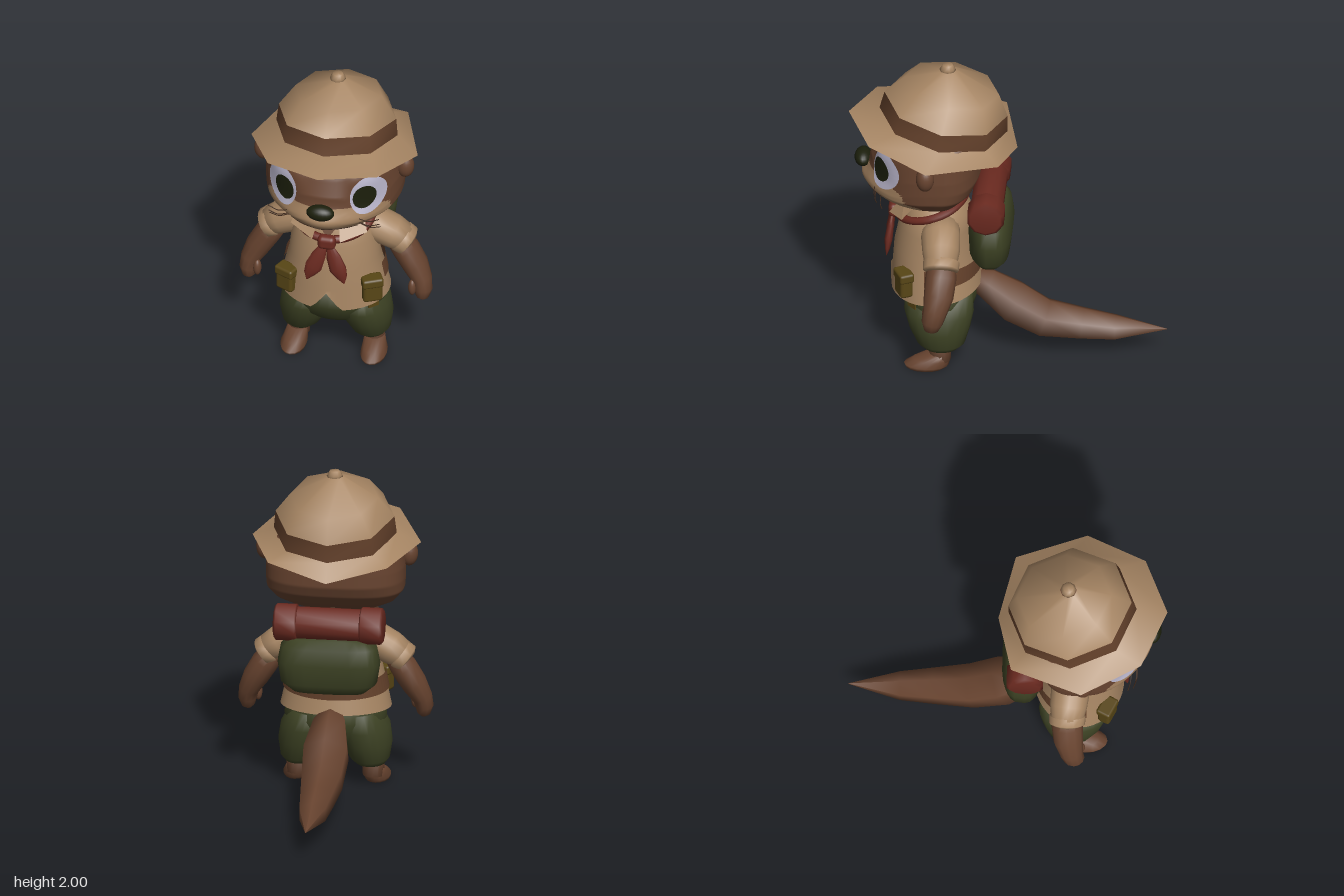
import * as THREE from 'three';
import { RoundedBoxGeometry } from 'three/addons/geometries/RoundedBoxGeometry.js';

const V = (x, y, z) => new THREE.Vector3(x, y, z);
const mat = (name, color, side = THREE.FrontSide) => {
  const m = new THREE.MeshStandardMaterial({ color, side });
  m.name = name;
  return m;
};

// Skin a list of equal-length point loops; caps collapse to the loop centre.
function loft(rings, cap = true) {
  const n = rings[0].length;
  const closed = (r) => {
    const c = r.reduce((a, p) => a.add(p), V(0, 0, 0)).divideScalar(n);
    return r.map(() => c);
  };
  const all = cap ? [closed(rings[0]), ...rings, closed(rings[rings.length - 1])] : rings;
  const pos = [], idx = [];
  all.forEach((r) => r.forEach((p) => pos.push(p.x, p.y, p.z)));
  for (let i = 0; i < all.length - 1; i++) for (let j = 0; j < n; j++) {
    const a = i * n + j, b = i * n + (j + 1) % n;
    idx.push(a, b, b + n, a, b + n, a + n);
  }
  const g = new THREE.BufferGeometry();
  g.setAttribute('position', new THREE.Float32BufferAttribute(pos, 3));
  g.setIndex(idx);
  g.computeVertexNormals();
  return g;
}

// Horizontal loop: half width, front z, back z, centre x and z of the widest point.
function ring(y, hx, zf, zb, n = 32, cx = 0, zc = (zf + zb) / 2, back = 1) {
  return Array.from({ length: n }, (_, j) => {
    const t = (j / n) * Math.PI * 2, s = Math.sin(t), c = Math.cos(t);
    const e = c < 0 ? back : 1;
    return V(cx + hx * Math.sign(s) * Math.abs(s) ** e, y,
      c > 0 ? zc + (zf - zc) * c : zc - (zc - zb) * Math.abs(c) ** e);
  });
}

// Limb along a path of [x, y, z, radius], with loops square to the path.
function limb(path, n, ref, flat = 1) {
  const pts = path.map((p) => V(p[0], p[1], p[2]));
  return loft(pts.map((p, i) => {
    const T = pts[Math.min(i + 1, pts.length - 1)].clone().sub(pts[Math.max(i - 1, 0)]).normalize();
    const U = ref.clone().addScaledVector(T, -ref.dot(T)).normalize();
    const W = T.clone().cross(U);
    return Array.from({ length: n }, (_, j) => {
      const t = (j / n) * Math.PI * 2, r = path[i][3];
      return p.clone().addScaledVector(U, r * flat * Math.cos(t)).addScaledVector(W, r * Math.sin(t));
    });
  }));
}

// Head profile: y, half width, front z, back z.
const HEAD = [[1.085, .10, .60, .38], [1.13, .26, .74, .32], [1.18, .36, .8, .25], [1.25, .415, .82, .18],
  [1.32, .42, .825, .15], [1.4, .42, .82, .15], [1.5, .41, .775, .15], [1.59, .36, .72, .15], [1.7, .22, .58, .22]];
function headAt(y) {
  let i = 0;
  while (i < HEAD.length - 2 && y > HEAD[i + 1][0]) i++;
  const a = HEAD[i], b = HEAD[i + 1], k = THREE.MathUtils.clamp((y - a[0]) / (b[0] - a[0]), 0, 1);
  return [1, 2, 3].map((q) => a[q] + (b[q] - a[q]) * k);
}
// Front surface of the head: upright around the eyes, with a muzzle bulge
function faceZ(x, y) {
  const w = Math.exp(-(((Math.abs(x) - .262) / .12) ** 4) - ((y - 1.4) / .15) ** 4);
  const [hx, zf] = headAt(y + (1.43 - y) * w);
  const bump = .06 * Math.exp(-((x / .21) ** 2) - ((y - 1.23) / .075) ** 2);
  return .42 + (zf - .42) * Math.sqrt(Math.max(0, 1 - (x / hx) ** 2)) + bump;
}

export function createModel() {
  const root = new THREE.Group();
  const tan = mat('tan cloth', 0xa68563, THREE.DoubleSide), fur = mat('brown fur', 0x67432f);
  const leather = mat('brown leather', 0x64412b, THREE.DoubleSide), olive = mat('olive cloth', 0x3c4123);
  const red = mat('red cloth', 0x6b2a20), white = mat('eye white', 0xbbb7cd);
  const black = mat('dark pupil', 0x1c1f0c), pouchMat = mat('ochre pouch', 0x584616);
  const dark = mat('dark line', 0x3f2a1d), furTan = mat('pale fur', 0xa48260);
  const add = (name, geo, m, x = 0, y = 0, z = 0) => {
    const o = new THREE.Mesh(geo, m);
    o.name = name;
    o.position.set(x, y, z);
    root.add(o);
    return o;
  };
  const ball = (name, m, x, y, z, rx, ry, rz) => {
    const o = add(name, new THREE.SphereGeometry(1, 20, 14), m, x, y, z);
    o.scale.set(rx, ry, rz);
    return o;
  };
  const line = (name, pts, r, m) =>
    add(name, new THREE.TubeGeometry(new THREE.CatmullRomCurve3(pts), 20, r, 5), m);

  // Head, with the pale muzzle as a material group
  const rows = [];
  for (let i = 0; i <= 72; i++) {
    const y = 1.085 + (.615 * i) / 72, [hx, zf, zb] = headAt(y);
    const r = ring(y, hx, zf, zb, 96, 0, .42, .75);
    r.forEach((p) => { if (p.z > .421) p.z = faceZ(p.x, y); });
    rows.push(r);
  }
  const head = loft(rows), hp = head.attributes.position, src = head.index.array, parts = [[], []];
  for (let i = 0; i < src.length; i += 3) {
    const t = [src[i], src[i + 1], src[i + 2]];
    const mean = (f) => t.reduce((s, k) => s + f(k), 0) / 3;
    const x = mean((k) => hp.getX(k)), y = mean((k) => hp.getY(k)), z = mean((k) => hp.getZ(k));
    const pale = z > .5 && (x / .375) ** 4 + ((y - 1.235) / .1) ** 4 < 1;
    parts[pale ? 0 : 1].push(...t);
  }
  head.setIndex(parts[0].concat(parts[1]));
  head.addGroup(0, parts[0].length, 0);
  head.addGroup(parts[0].length, parts[1].length, 1);
  add('head', head, [furTan, fur]);
  ball('nose', black, 0, 1.325, .868, .085, .05, .052);
  line('mouth', [-.2, -.14, -.07, 0, .07, .14, .2].map((x, i) => {
    const y = [1.175, 1.185, 1.19, 1.18, 1.19, 1.185, 1.175][i];
    return V(x, y, faceZ(x, y));
  }), .004, dark);

  // Face plates that follow the head surface
  const plate = (name, m, cx, cy, rx, ry, lift) => {
    const g = new THREE.RingGeometry(0, 1, 32, 5), p = g.attributes.position;
    for (let i = 0; i < p.count; i++) {
      const x = cx + p.getX(i) * rx, y = cy + p.getY(i) * ry;
      p.setXYZ(i, x, y, faceZ(x, y) + lift);
    }
    g.computeVertexNormals();
    add(name, g, m);
  };
  for (const s of [1, -1]) {
    const side = s > 0 ? 'left' : 'right';
    plate(side + 'EyeWhite', white, s * .262, 1.4, .098, .125, .008);
    plate(side + 'Pupil', black, s * .245, 1.395, .064, .078, .014);
    const brow = add(side + 'Brow', new RoundedBoxGeometry(.13, .05, .05, 3, .022), furTan, s * .252, 1.58, faceZ(.252, 1.58) + .005);
    brow.rotation.set(0, s * .5, -s * .12);
    ball(side + 'Ear', fur, s * .435, 1.455, .465, .055, .08, .055);
    for (let k = 0; k < 3; k++) {
      const y = 1.25 - k * .03, z = faceZ(.22, y);
      line(side + 'Whisker', [V(s * .22, y, z), V(s * .28, y - .01 - k * .006, z), V(s * .34, y + .005 - k * .012, z - .015)], .003, dark);
    }
  }

  // Hat: eight-sided, tilted back, with the brim drooping at the rear
  const hatRing = (cz, rx, rz, y, slope) => ring(y, rx, cz + rz, cz - rz, 8).map((p) => p.setY(y + (p.z - cz) * slope));
  const brimHalf = [[0, 1.64, .955], [.335, 1.605, .81], [.51, 1.53, .455], [.36, 1.515, .03], [0, 1.43, -.06]].map((p) => V(...p));
  const brimEdge = [...brimHalf, ...brimHalf.slice(1, 4).reverse().map((p) => V(-p.x, p.y, p.z))];
  const bandLow = hatRing(.385, .372, .385, 1.61, .175), bandHigh = hatRing(.37, .36, .37, 1.72, .185);
  add('hatBrim', loft([brimEdge, bandLow], false), tan);
  add('hatBand', loft([bandLow, bandHigh], false), leather);
  add('hatCrown', loft([bandHigh, hatRing(.335, .265, .285, 1.85, .18), hatRing(.36, .05, .05, 1.965, .02)], false), tan);
  add('hatKnob', loft([ring(1.94, .04, .4, .32, 10), ring(1.975, .046, .406, .314, 10), ring(2, .03, .39, .33, 10)]), tan);

  // Shirt with a notch in the front hem
  const hem = ring(.465, .335, .7, .15, 64);
  hem.forEach((p) => {
    p.y += (.7 - p.z) * .07;
    if (p.z > .5) p.y += .12 * Math.max(0, 1 - Math.abs(p.x) / .09);
  });
  add('shirt', loft([hem, ...[[.6, .31, .69, .17], [.75, .275, .68, .2], [.9, .26, .65, .21], [1, .235, .62, .22],
    [1.06, .17, .58, .27], [1.1, .1, .52, .34]].map((r) => ring(...r, 64))], false), tan);
  add('neck', new THREE.CylinderGeometry(.13, .15, .14, 20), fur, 0, 1.08, .44);
  const facets = (name, pts, m) => {
    const g = new THREE.BufferGeometry().setFromPoints(pts);
    g.computeVertexNormals();
    return add(name, g, m);
  };
  facets('throat', [V(-.09, 1.1, .62), V(0, .98, .67), V(.09, 1.1, .62)], fur);

  // Belt around the back of the waist
  const beltRing = (y, hx) => ring(y, hx, .7, .155, 64).filter((p, j) => j >= 14 && j <= 50);
  const low = beltRing(.6, .32), high = beltRing(.705, .3), strip = [];
  for (let j = 0; j < low.length - 1; j++) strip.push(low[j], low[j + 1], high[j + 1], low[j], high[j + 1], high[j]);
  facets('belt', strip, leather);

  // Neckerchief
  const loop = Array.from({ length: 12 }, (_, i) => {
    const t = (i / 12) * Math.PI * 2;
    return V(.23 * Math.sin(t), 1.035 - .065 * Math.cos(t), .455 + .205 * Math.cos(t));
  });
  add('scarfLoop', new THREE.TubeGeometry(new THREE.CatmullRomCurve3(loop, true), 40, .025, 8, true), red);
  add('scarfKnot', new RoundedBoxGeometry(.11, .09, .07, 3, .03), red, 0, .965, .68);

  // Pelvis of the shorts
  add('shorts', loft([ring(.27, .2, .54, .26), ring(.33, .28, .6, .2), ring(.43, .31, .65, .17), ring(.58, .29, .66, .18)]), olive);

  for (const s of [1, -1]) {
    const side = s > 0 ? 'left' : 'right';
    // Collar and scarf ends
    const [a, b, c, d] = [V(s * .06, 1.105, .61), V(s * .2, 1.1, .55), V(s * .235, 1.03, .62), V(s * .085, .99, .705)];
    facets(side + 'Collar', s > 0 ? [a, d, c, a, c, b] : [a, c, d, a, b, c], tan);
    add(side + 'ScarfEnd', limb([[s * .015, .95, .69, .02], [s * .045, .87, .7, .045], [s * .075, .79, .71, .054],
      [s * .1, .74, .715, .035], [s * .115, .695, .72, .003]], 10, V(0, 0, 1), .45), red);
    // Sleeve, cuff and arm
    add(side + 'Sleeve', limb([[s * .14, .95, .39, .1], [s * .24, .925, .385, .105], [s * .34, .875, .375, .1], [s * .42, .825, .37, .085]], 16, V(0, 0, 1), 1.12), tan);
    add(side + 'Cuff', limb([[s * .385, .845, .37, .075], [s * .39, .84, .37, .092], [s * .43, .81, .37, .09], [s * .435, .805, .37, .07]], 16, V(0, 0, 1), 1.2), tan);
    add(side + 'Arm', limb([[s * .36, .84, .37, .07], [s * .42, .75, .37, .082], [s * .48, .65, .38, .078], [s * .525, .56, .4, .062],
      [s * .535, .5, .415, .056], [s * .53, .45, .42, .04], [s * .525, .43, .42, .015]], 12, V(0, 0, 1), 1.15), fur);
    ball(side + 'Thumb', fur, s * .475, .525, .45, .025, .055, .03);
    // Belt pouch and flap
    const pouch = add(side + 'Pouch', new RoundedBoxGeometry(.12, .16, .08, 2, .02), pouchMat, s * .26, .6, .605);
    pouch.rotation.y = s * .45;
    const lid = add(side + 'PouchFlap', new RoundedBoxGeometry(.13, .06, .092, 2, .015), pouchMat, s * .26, .655, .605);
    lid.rotation.y = s * .45;
    // Trouser leg
    add(side + 'TrouserLeg', loft([ring(.135, .09, .49, .28, 20, s * .215), ring(.17, .12, .53, .24, 20, s * .21),
      ring(.27, .155, .58, .21, 20, s * .19), ring(.37, .155, .61, .19, 20, s * .175), ring(.48, .11, .6, .2, 20, s * .16)]), olive);
    // Lower leg and foot
    add(side + 'Shin', limb([[s * .23, .05, .39, .065], [s * .23, .18, .39, .068]], 12, V(0, 0, 1)), fur);
    add(side + 'Foot', loft([ring(.005, .075, .595, .36, 16, s * .245), ring(.025, .08, .605, .335, 16, s * .245),
      ring(.06, .07, .55, .33, 16, s * .24), ring(.1, .06, .46, .33, 16, s * .235)]), fur);
  }
  add('shortsPatch', new THREE.BoxGeometry(.07, .06, .009), pouchMat, .26, .455, .556).rotation.y = .75;

  // Tail, ridged above and below
  add('tail', limb([[0, .5, .24, .06], [0, .455, .13, .11], [0, .335, -.03, .152], [0, .225, -.22, .138],
    [0, .195, -.45, .113], [0, .175, -.65, .09], [0, .175, -.96, .002]], 6, V(0, 1, 0), .89), fur);

  // Backpack and bedroll
  add('backpack', loft([ring(.69, .22, .2, .02, 24, 0, .11, .6), ring(.75, .29, .23, -.02, 24, 0, .11, .6),
    ring(.88, .31, .235, -.035, 24, 0, .11, .6), ring(.98, .29, .23, -.02, 24, 0, .11, .6), ring(1.03, .24, .21, .01, 24, 0, .11, .6)]), olive);
  add('bedroll', limb([[-.25, 1.11, .11, .1], [.25, 1.11, .11, .1]], 10, V(0, 1, 0)), red);
  for (const s of [1, -1])
    add('bedrollEnd', limb([[s * .19, 1.11, .11, .1], [s * .2, 1.11, .11, .115], [s * .315, 1.11, .11, .115],
      [s * .33, 1.11, .11, .095]], 10, V(0, 1, 0)), red);
  return root;
}
